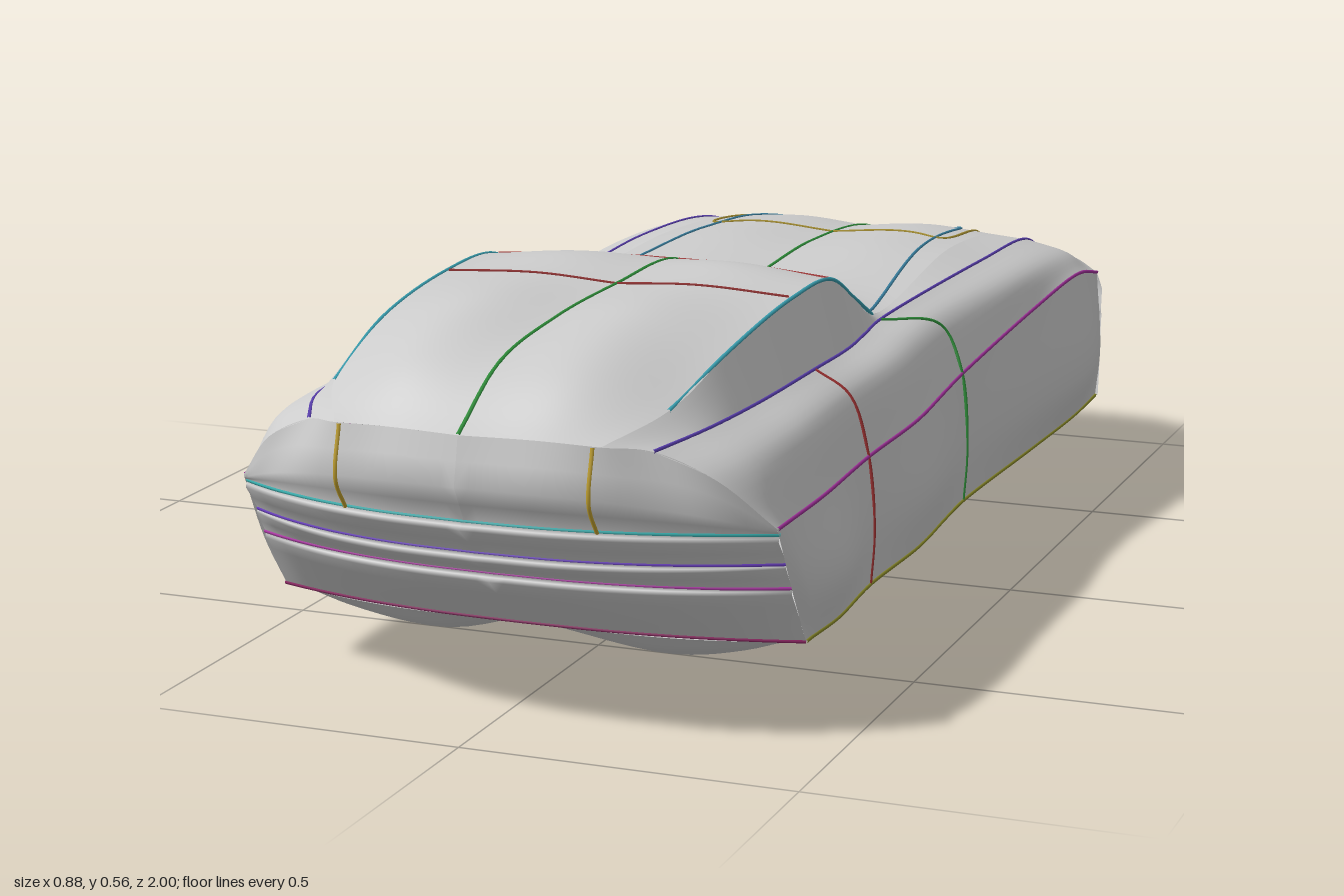
import * as THREE from 'three';

const grey = new THREE.MeshStandardMaterial({ color: 0xcccccc, side: THREE.DoubleSide });
const V = (p) => new THREE.Vector3(...p);
const curve = (pts) => new THREE.CatmullRomCurve3(pts.map((p) => (p.isVector3 ? p : V(p))), false, 'centripetal');

// Lengthwise rails on the +x half, each running from the +z end to the -z end: [x, y, z]
const rails = {
  keel: [[0, .12, .79], [0, .11, .74], [0, .1, .6], [0, .1, .42], [0, .095, .2], [0, .095, .03], [0, .09, -.08], [0, .08, -.45], [0, .08, -.7], [0, .1, -.94]],
  belly: [[.17, .115, .78], [.17, .08, .73], [.17, .045, .6], [.17, .085, .42], [.17, .05, .2], [.17, .06, .03], [.17, .075, -.08], [.17, .02, -.45], [.17, .003, -.7], [.17, .1, -.93]],
  floor: [[.3, .115, .76], [.3, .09, .72], [.3, .065, .6], [.3, .095, .42], [.3, .065, .2], [.3, .075, .03], [.3, .085, -.08], [.3, .045, -.45], [.3, .035, -.7], [.3, .11, -.9]],
  sill: [[.41, .115, .72], [.41, .115, .7], [.415, .115, .6], [.405, .115, .42], [.41, .115, .2], [.4, .115, .03], [.395, .115, -.08], [.405, .115, -.45], [.41, .115, -.7], [.405, .115, -.86]],
  flank: [[.412, .2, .78], [.425, .2, .75], [.437, .2, .63], [.41, .2, .42], [.425, .2, .2], [.41, .2, .03], [.4, .2, -.08], [.425, .2, -.45], [.437, .2, -.7], [.41, .2, -.87]],
  shoulder: [[.41, .31, .84], [.41, .31, .8], [.41, .31, .65], [.4, .31, .42], [.405, .315, .2], [.395, .32, .03], [.39, .325, -.08], [.405, .36, -.45], [.41, .37, -.7], [.4, .34, -.87]],
  haunch: [[.34, .385, .89], [.365, .395, .82], [.375, .4, .65], [.37, .4, .42], [.37, .4, .2], [.36, .4, .05], [.355, .4, -.08], [.375, .41, -.45], [.37, .395, -.75], [.34, .355, -.92]],
  belt: [[.26, .425, .92], [.295, .435, .83], [.31, .435, .65], [.315, .435, .42], [.31, .43, .25], [.3, .43, .14], [.29, .43, .04], [.31, .435, -.45], [.3, .415, -.75], [.28, .35, -.95]],
  roofEdge: [[.2, .435, .96], [.255, .465, .85], [.275, .515, .65], [.28, .54, .42], [.28, .535, .25], [.28, .485, .14], [.28, .44, .05], [.25, .45, -.45], [.24, .42, -.75], [.22, .35, -.975]],
  crown: [[.11, .44, .975], [.13, .515, .85], [.13, .55, .65], [.13, .547, .42], [.13, .55, .25], [.13, .49, .08], [.13, .445, -.07], [.13, .455, -.45], [.12, .43, -.75], [.11, .345, -.985]],
  spine: [[0, .44, .985], [0, .51, .85], [0, .535, .65], [0, .54, .42], [0, .535, .19], [0, .475, .04], [0, .44, -.1], [0, .445, -.45], [0, .42, -.75], [0, .34, -.99]],
};
const rail = {};
for (const k in rails) rail[k] = curve(rails[k]);

// Surface through a list of curves; straight = true keeps a sharp edge at each curve
function loft(curves, nu, nv, straight, mirror) {
  const pos = [], index = [], side = mirror ? -1 : 1;
  for (let i = 0; i <= nu; i++) {
    const pts = curves.map((c) => c.getPoint(i / nu));
    const across = straight ? null : curve(pts);
    for (let j = 0; j <= nv; j++) {
      const s = (j / nv) * (pts.length - 1), k = Math.min(Math.floor(s), pts.length - 2);
      const p = straight ? pts[k].clone().lerp(pts[k + 1], s - k) : across.getPoint(j / nv);
      pos.push(side * p.x, p.y, p.z);
    }
  }
  const w = nv + 1;
  for (let i = 0; i < nu; i++) for (let j = 0; j < nv; j++) {
    const a = i * w + j, b = a + w, c = b + 1, d = a + 1;
    if (mirror) index.push(a, c, b, a, d, c);
    else index.push(a, b, c, a, c, d);
  }
  const g = new THREE.BufferGeometry();
  g.setAttribute('position', new THREE.Float32BufferAttribute(pos, 3));
  g.setIndex(index);
  g.computeVertexNormals();
  return g;
}

// Crosswise curve of an end panel, swept back toward the corner
const endRow = (yc, ys, zc, zs, x = .41) => curve([0, .3, .55, .75, .9, 1].map((f) =>
  [x * f, yc + (ys - yc) * f ** 3, zc + (zs - zc) * f ** 2.5]));
const rim = (i) => curve(['spine', 'crown', 'roofEdge', 'belt', 'haunch', 'shoulder'].map((k) => rails[k][i]));

export function createModel() {
  const model = new THREE.Group();
  const body = new THREE.Group();
  body.name = 'body';
  model.add(body);

  const plusRows = [rim(0), endRow(.37, .305, 1, .838), endRow(.315, .3, .97, .83), endRow(.305, .29, .985, .835),
    endRow(.26, .25, .93, .8), endRow(.25, .245, .945, .805), endRow(.215, .21, .875, .78),
    endRow(.205, .2, .89, .78), endRow(.16, .16, .84, .75), endRow(.12, .115, .79, .72)];
  const minusRows = [rim(9), endRow(.31, .31, -1, -.872), endRow(.275, .275, -.98, -.868), endRow(.26, .26, -1, -.872),
    endRow(.21, .21, -.955, -.866), endRow(.19, .19, -.985, -.868), endRow(.145, .145, -.975, -.864), endRow(.1, .115, -.94, -.86)];

  const r = (...names) => names.map((n) => rail[n]);
  const panels = [
    ['underside', r('keel', 'belly', 'floor', 'sill'), 72, 18],
    ['sideWall', r('sill', 'flank', 'shoulder'), 72, 12],
    ['fender', r('shoulder', 'haunch', 'belt'), 72, 12],
    ['sideWindow', r('belt', 'roofEdge'), 72, 4, true],
    ['roofAndHood', r('roofEdge', 'crown', 'spine'), 72, 14],
    ['frontEnd', [...plusRows].reverse(), 30, 18, true],
    ['backEnd', minusRows, 30, 14, true],
  ];
  for (const [name, curves, nu, nv, straight] of panels) for (const mirror of [false, true]) {
    const mesh = new THREE.Mesh(loft(curves, nu, nv, straight, mirror), grey);
    mesh.name = name + (mirror ? 'Right' : 'Left');
    body.add(mesh);
  }

  // Coloured seam lines
  const seams = new THREE.Group();
  seams.name = 'seamLines';
  model.add(seams);
  function seam(name, color, path, mirrored = true) {
    const geo = new THREE.TubeGeometry(path, 64, .003, 5);
    const mat = new THREE.MeshStandardMaterial({ color });
    for (const s of mirrored ? [1, -1] : [1]) {
      const pts = path.getPoints(64).map((p) => new THREE.Vector3(s * p.x, p.y, p.z));
      const mesh = new THREE.Mesh(s > 0 ? geo : new THREE.TubeGeometry(curve(pts), 64, .003, 5), mat);
      mesh.name = name + (mirrored ? (s > 0 ? 'Left' : 'Right') : '');
      seams.add(mesh);
    }
  }
  seam('centreSeam', 0x2f8f3a, rail.spine, false);
  seam('keelSeam', 0xa03070, rail.keel, false);
  seam('shoulderSeam', 0xa0329a, rail.shoulder);
  seam('sillSeam', 0x8a8a2a, rail.sill);
  seam('beltSeam', 0x5a3fb0, rail.belt);
  seam('roofEdgeSeam', 0x3a9fb0, curve(rails.roofEdge.slice(1, 7)));
  [[2, 0x3ab0b0], [4, 0x6a3fc0], [6, 0xb03aa8], [9, 0x8a2060]].forEach(([i, c]) => seam('frontEndSeam', c, plusRows[i]));

  // Door seams follow one station up the side
  [[3, 0x9a3030], [6, 0x2f8f3a]].forEach(([i, c]) =>
    seam('doorSeam', c, curve(['sill', 'flank', 'shoulder', 'haunch', 'belt'].map((k) => rails[k][i]))));

  // Lines dropped onto the body from above, given as [x, z]
  const ray = new THREE.Raycaster();
  function drape(name, color, plan) {
    const pts = curve(plan.map(([x, z]) => [x, 0, z])).getPoints(24).map((p) => {
      ray.set(new THREE.Vector3(Math.max(p.x, .001), 2, p.z), new THREE.Vector3(0, -1, 0));
      const hit = ray.intersectObjects(body.children)[0];
      return hit ? hit.point : null;
    }).filter(Boolean);
    seam(name, color, curve(pts));
  }
  drape('hoodOutline', 0x3a80a0, [[.27, .04], [.25, -.08], [.22, -.3], [.2, -.5], [.18, -.75], [.12, -.83], [0, -.85]]);
  drape('windscreenBase', 0x4a6ac0, [[.26, .06], [.2, -.02], [.1, -.085], [0, -.1]]);
  drape('roofFrontEdge', 0x9a3030, [[.275, .24], [.15, .19], [0, .17]]);
  drape('roofCrossSeam', 0x8a3030, [[.275, .42], [0, .42]]);
  drape('hoodPanelEdge', 0xa08a30, [[0, -.57], [.15, -.56], [.21, -.54], [.2, -.78], [.17, -.88], [.1, -.9]]);

  // Upright seams at the sides of the rear panel
  seam('rearPanelSeam', 0xc0a030, curve([[.19, .435, .965], [.19, .36, .98], [.19, .31, .95]]));
  return model;
}
